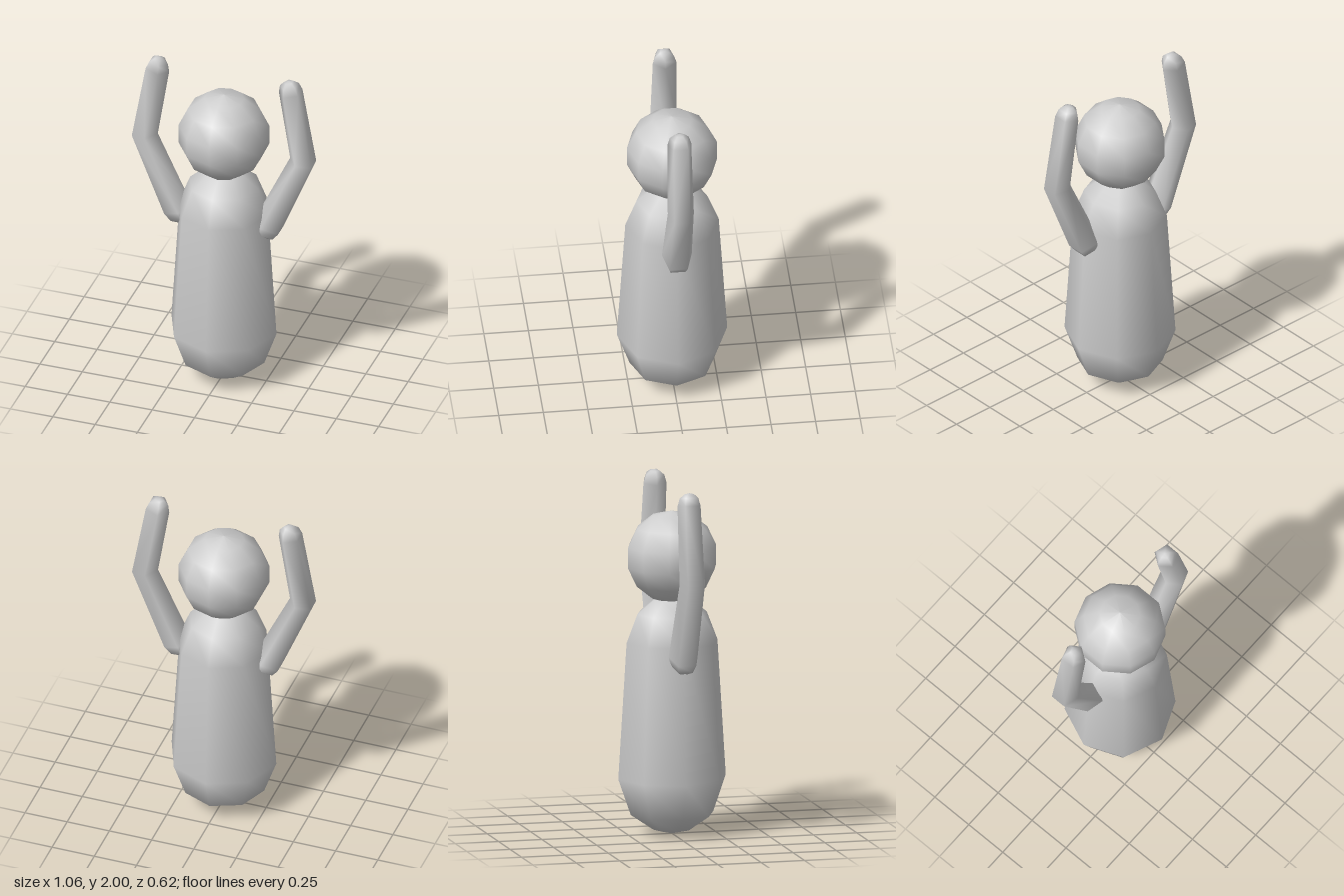
import * as THREE from 'three';
import { mergeVertices } from 'three/addons/utils/BufferGeometryUtils.js';

// Solid of revolution from [radius, y] pairs, bottom to top
function lathe(profile, sides) {
  return new THREE.LatheGeometry(profile.map(([r, y]) => new THREE.Vector2(r, y)), sides);
}

// Five-sided bent tube with rounded ends, lying in the x-y plane
function armGeometry(side) {
  const n = 5;
  const shoulder = new THREE.Vector2(0.27, 1.035);
  const elbow = new THREE.Vector2(0.467, 1.486);
  const hand = new THREE.Vector2(0.393, 1.925);
  const lower = elbow.clone().sub(shoulder).normalize();
  const upper = hand.clone().sub(elbow).normalize();
  const bend = lower.clone().add(upper).normalize();
  const cap = [[1, 0], [0.8, 0.63], [0.4, 0.95], [0, 1.03]];

  // Each ring: centre, axis, radius
  const rings = [];
  for (const [s, h] of [...cap].reverse()) {
    rings.push([shoulder.clone().addScaledVector(lower, -h * 0.088), lower, s * 0.088]);
  }
  rings.push([elbow, bend, 0.077]);
  for (const [s, h] of cap) {
    rings.push([hand.clone().addScaledVector(upper, h * 0.07), upper, s * 0.07]);
  }

  const position = [], index = [];
  const tri = (a, b, c) => index.push(...(side > 0 ? [a, b, c] : [a, c, b]));
  rings.forEach(([c, axis, r], i) => {
    for (let k = 0; k < n; k++) {
      const t = (k / n) * Math.PI * 2;
      const u = -Math.cos(t) * r;
      position.push(side * (c.x + u * axis.y), c.y - u * axis.x, Math.sin(t) * r);
      if (i === 0) continue;
      const k2 = (k + 1) % n, lo = (i - 1) * n, hi = i * n;
      if (rings[i - 1][2] > 0) tri(lo + k, lo + k2, hi + k2);
      if (r > 0) tri(lo + k, hi + k2, hi + k);
    }
  });
  let geo = new THREE.BufferGeometry();
  geo.setAttribute('position', new THREE.Float32BufferAttribute(position, 3));
  geo.setIndex(index);
  geo = mergeVertices(geo);
  geo.computeVertexNormals();
  return geo;
}

export function createModel() {
  const model = new THREE.Group();
  model.name = 'figure';
  const lightGrey = new THREE.MeshStandardMaterial({ color: 0xcccccc });
  lightGrey.name = 'lightGrey';

  const add = (name, geometry) => {
    const mesh = new THREE.Mesh(geometry, lightGrey);
    mesh.name = name;
    model.add(mesh);
  };

  // Tapered body with rounded base and shoulders
  add('body', lathe([
    [0, 0], [0.108, 0.026], [0.238, 0.115], [0.31, 0.32],
    [0.262, 1.09], [0.2, 1.25], [0.1, 1.33], [0, 1.36],
  ], 8));

  // Ball head
  const head = [];
  for (let i = 0; i <= 7; i++) {
    const t = (i / 7) * Math.PI;
    head.push([i % 7 ? 0.26 * Math.sin(t) : 0, 1.57 - 0.26 * Math.cos(t)]);
  }
  add('head', lathe(head, 10));

  // Raised arms
  add('leftArm', armGeometry(1));
  add('rightArm', armGeometry(-1));

  return model;
}
